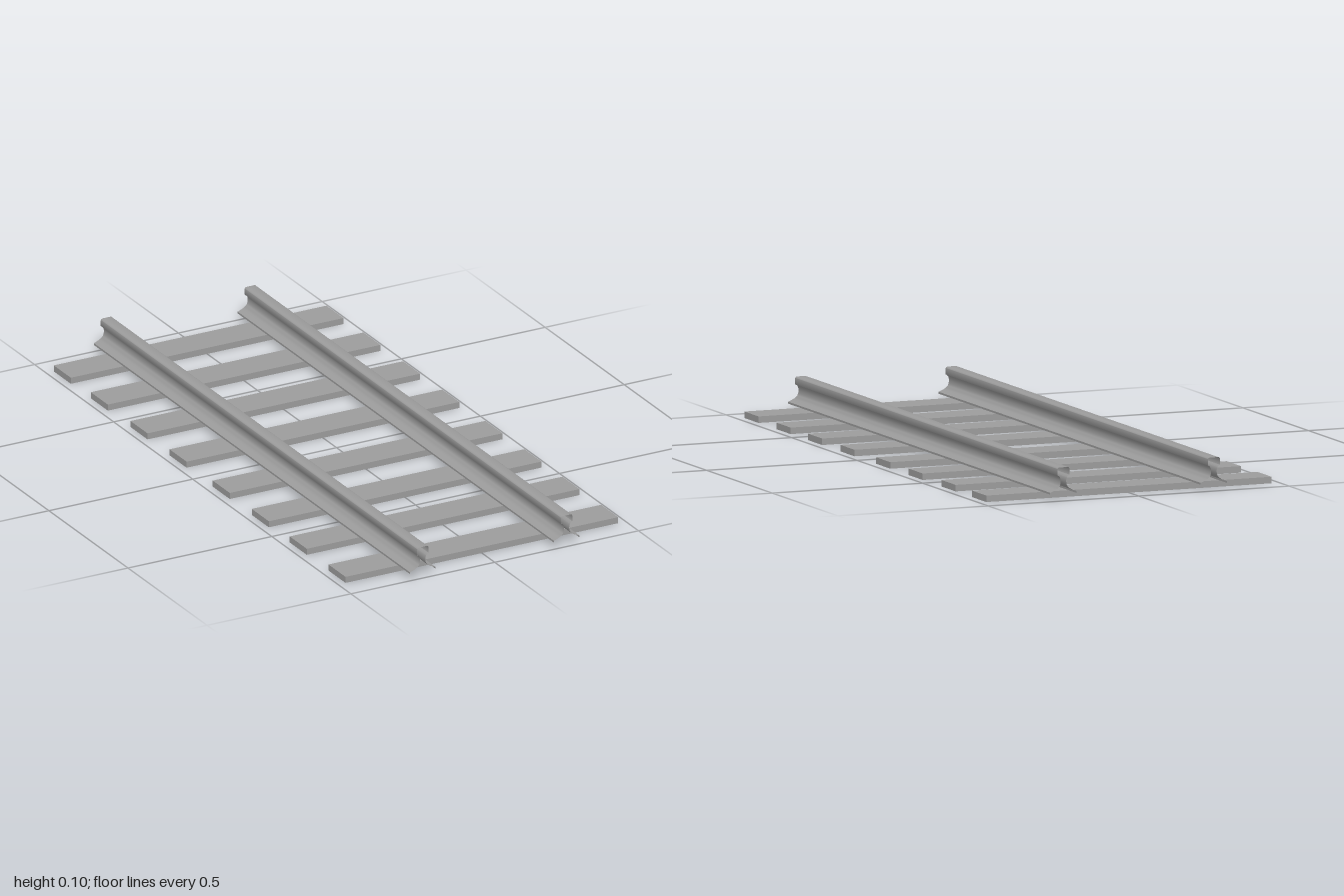
import * as THREE from 'three';
import { toCreasedNormals } from 'three/addons/utils/BufferGeometryUtils.js';

const material = new THREE.MeshStandardMaterial({ color: 0x9c9c9c, side: THREE.DoubleSide });

// Half of the rail section: foot edge, concave web, head
function railSection() {
  const path = new THREE.Path();
  path.moveTo(0.044, 0.022);
  path.lineTo(0.044, 0.028);
  path.bezierCurveTo(0.022, 0.036, 0.009, 0.042, 0.009, 0.06);
  path.quadraticCurveTo(0.009, 0.077, 0.02, 0.08);
  path.lineTo(0.02, 0.097);
  path.quadraticCurveTo(0.02, 0.103, 0.014, 0.104);
  const half = path.getPoints(6);
  const mirrored = half.map((p) => new THREE.Vector2(-p.x, p.y)).reverse();
  return [...half, ...mirrored];
}

// Open shell swept along z
function sweepAlongZ(section, length) {
  const positions = [];
  const index = [];
  section.forEach((p, i) => {
    positions.push(p.x, p.y, -length / 2, p.x, p.y, length / 2);
    if (i < section.length - 1) {
      const a = i * 2;
      index.push(a, a + 2, a + 1, a + 1, a + 2, a + 3);
    }
  });
  const geometry = new THREE.BufferGeometry();
  geometry.setAttribute('position', new THREE.Float32BufferAttribute(positions, 3));
  geometry.setIndex(index);
  return toCreasedNormals(geometry, Math.PI / 5);
}

// Box without its underside
function openBox(width, height, depth) {
  const geometry = new THREE.BoxGeometry(width, height, depth);
  const index = Array.from(geometry.index.array);
  index.splice(18, 6);
  geometry.setIndex(index);
  geometry.clearGroups();
  return geometry;
}

export function createModel() {
  const model = new THREE.Group();
  model.name = 'railwayTrack';

  // Two rails
  const railGeometry = sweepAlongZ(railSection(), 2);
  for (const side of [-1, 1]) {
    const rail = new THREE.Mesh(railGeometry, material);
    rail.name = side > 0 ? 'leftRail' : 'rightRail';
    rail.position.x = side * 0.25;
    model.add(rail);
  }

  // Eight sleepers, hollow underneath
  const sleeperGeometry = openBox(0.948, 0.02, 0.108);
  const sleeperZ = [-0.872, -0.638, -0.387, -0.14, 0.133, 0.38, 0.62, 0.865];
  sleeperZ.forEach((z, i) => {
    const sleeper = new THREE.Mesh(sleeperGeometry, material);
    sleeper.name = `sleeper${i + 1}`;
    sleeper.position.set(0, 0.01, z);
    model.add(sleeper);
  });

  return model;
}
